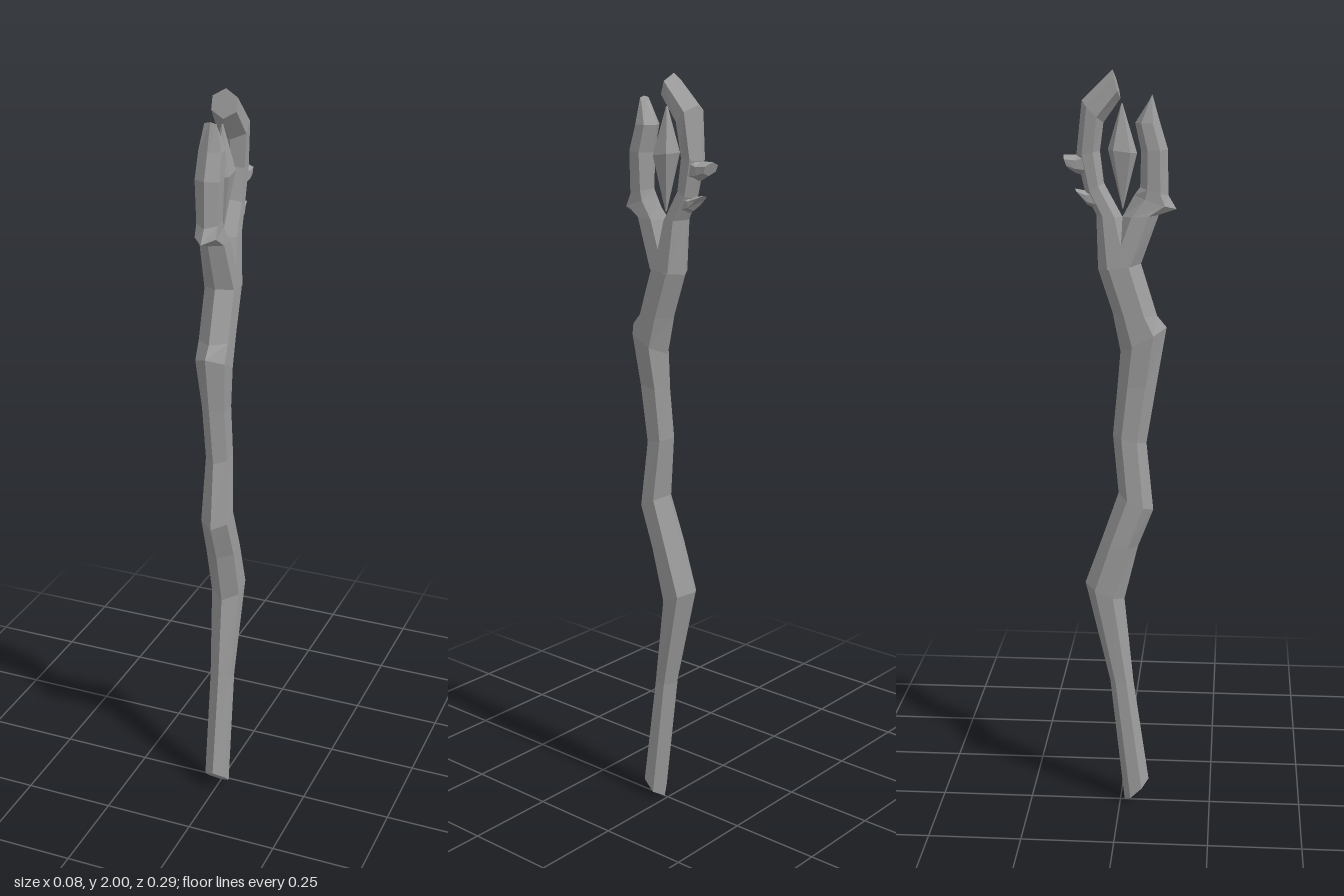
import * as THREE from 'three';

const wood = new THREE.MeshStandardMaterial({ color: 0x9c9c9c });
wood.name = 'grey wood';

// Loft of six-sided rings. Each ring: [front y, front z, back y, back z, half width]
function loft(name, rings, inset = 0.27) {
  const pos = [], idx = [];
  for (const [fy, fz, by, bz, w] of rings) {
    const put = (x, t) => pos.push(x, fy + (by - fy) * t, fz + (bz - fz) * t);
    put(0, 0);
    put(w, inset);
    put(w, 1 - inset);
    put(0, 1);
    put(-w, 1 - inset);
    put(-w, inset);
  }
  const last = (rings.length - 1) * 6;
  for (let r = 0; r < last; r += 6) {
    for (let i = 0; i < 6; i++) {
      const j = (i + 1) % 6;
      idx.push(r + i, r + j, r + 6 + j, r + i, r + 6 + j, r + 6 + i);
    }
  }
  // end caps
  for (let i = 1; i < 5; i++) idx.push(0, i + 1, i, last, last + i, last + i + 1);
  const indexed = new THREE.BufferGeometry();
  indexed.setAttribute('position', new THREE.Float32BufferAttribute(pos, 3));
  indexed.setIndex(idx);
  const geo = indexed.toNonIndexed(); // faceted normals
  geo.computeVertexNormals();
  const mesh = new THREE.Mesh(geo, wood);
  mesh.name = name;
  return mesh;
}

export function createModel() {
  const staff = new THREE.Group();
  staff.name = 'gnarledStaff';

  // crooked shaft with a slanted foot
  staff.add(loft('shaft', [
    [0.065, 0.079, 0, 0.012, 0.03],
    [0.36, 0.036, 0.36, -0.028, 0.03],
    [0.6, 0.011, 0.645, -0.095, 0.04],
    [0.75, 0.047, 0.77, -0.05, 0.04],
    [0.855, 0.088, 0.9, -0.005, 0.037],
    [1.04, 0.069, 1.06, -0.02, 0.03],
    [1.2, 0.095, 1.19, -0.008, 0.031],
    [1.35, 0.12, 1.285, 0, 0.04],
    [1.38, 0.095, 1.385, -0.02, 0.04],
    [1.515, 0.053, 1.5, -0.058, 0.04],
  ]));

  // front branch of the fork, with its outer spur
  staff.add(loft('frontProng', [
    [1.515, 0.053, 1.5, -0.045, 0.04],
    [1.64, 0.098, 1.635, 0.005, 0.033],
    [1.655, 0.143, 1.69, 0.035, 0.028],
    [1.69, 0.122, 1.71, 0.05, 0.028],
    [1.805, 0.12, 1.8, 0.052, 0.032],
    [1.87, 0.1, 1.87, 0.037, 0.03],
    [1.94, 0.08, 1.925, 0.073, 0.016],
  ]));

  // back branch, hooked forward at the top
  staff.add(loft('backProng', [
    [1.515, 0.04, 1.5, -0.058, 0.04],
    [1.635, 0.005, 1.64, -0.062, 0.033],
    [1.72, -0.042, 1.695, -0.09, 0.028],
    [1.8, -0.052, 1.79, -0.112, 0.03],
    [1.87, -0.043, 1.925, -0.098, 0.038],
    [1.93, 0, 2, -0.02, 0.033],
  ]));

  // two broken twigs on the back branch
  staff.add(loft('upperTwig', [
    [1.81, -0.08, 1.73, -0.07, 0.026],
    [1.79, -0.11, 1.745, -0.115, 0.027],
    [1.79, -0.145, 1.755, -0.132, 0.025],
  ]));
  staff.add(loft('lowerTwig', [
    [1.71, -0.06, 1.65, -0.055, 0.024],
    [1.7, -0.085, 1.665, -0.085, 0.024],
    [1.705, -0.116, 1.685, -0.098, 0.02],
  ]));

  // diamond crystal floating in the fork
  staff.add(loft('crystal', [
    [1.655, 0.007, 1.655, 0.005, 0.002],
    [1.795, 0.042, 1.805, -0.032, 0.027],
    [1.918, 0.005, 1.918, 0.002, 0.002],
  ], 0.2));

  return staff;
}
